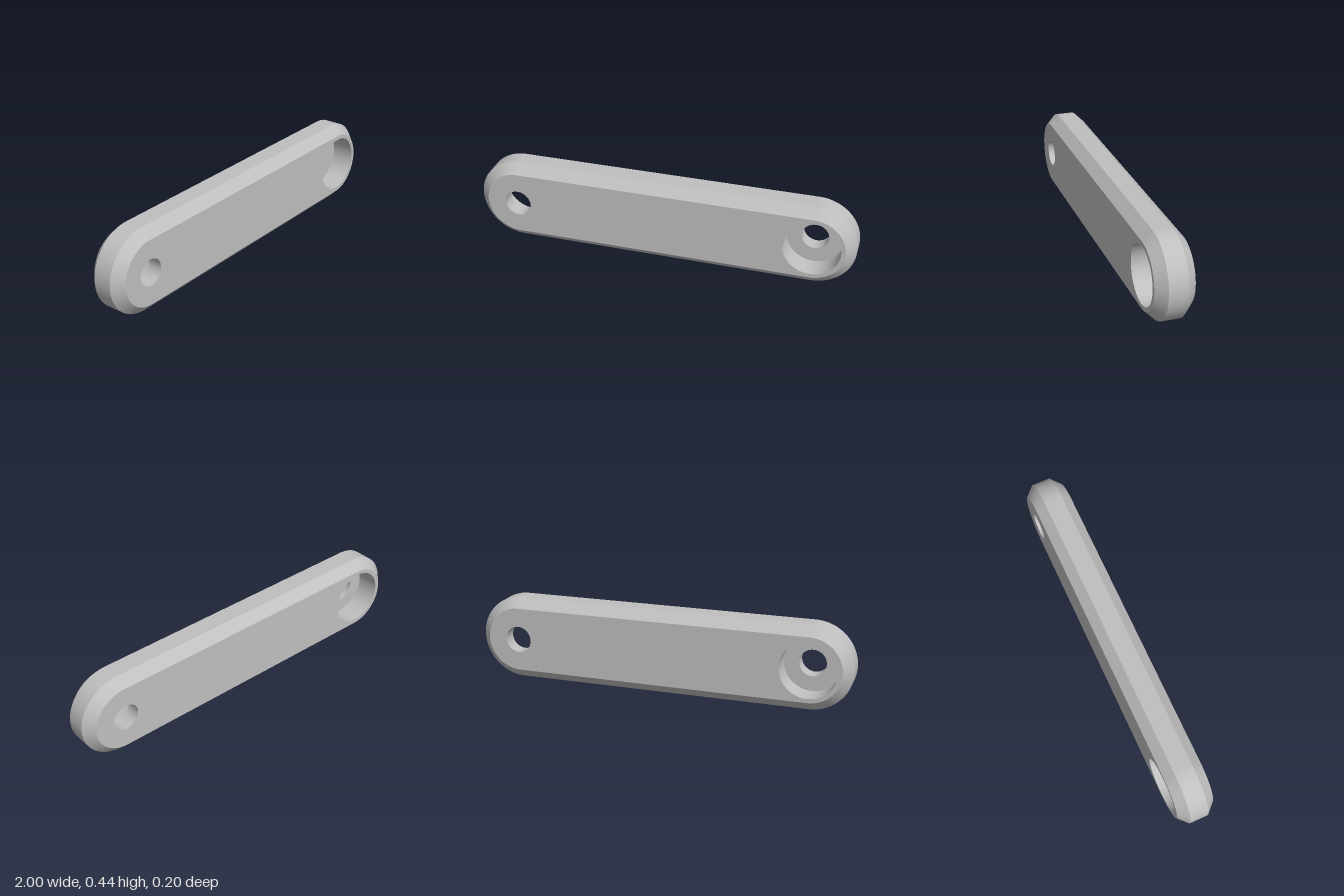
import * as THREE from 'three';

const HOLE_X = 0.78;         // hole and end-arc centres
const R = 0.22;              // end radius, also half the height
const FACE_Z = 0.098;        // flat face
const EDGE_Z = 0.048;        // where the chamfer meets the rim
const CHAMFER = 0.05;
const HOLE_R = 0.07;
const BORE_R = 0.148;
const BORE_Z = FACE_Z - 0.12; // floor of the counterbore
const ARC = 40;              // segments per half circle

// Closed outline, counter-clockwise: a circle, or a slot when half > 0
function outline(cx, half, r) {
  const points = [];
  for (const side of [1, -1]) {
    const last = half > 0 ? ARC : ARC - 1;
    for (let i = 0; i <= last; i++) {
      const a = (i / ARC - 0.5) * Math.PI + (side < 0 ? Math.PI : 0);
      points.push(new THREE.Vector2(cx + side * half + r * Math.cos(a), R + r * Math.sin(a)));
    }
  }
  return points;
}

// Smooth closed band joining two matching outlines
function band(loopA, zA, loopB, zB) {
  const n = loopA.length, pos = [], index = [];
  loopA.forEach((p) => pos.push(p.x, p.y, zA));
  loopB.forEach((p) => pos.push(p.x, p.y, zB));
  for (let i = 0; i < n; i++) {
    const j = (i + 1) % n;
    index.push(i, n + i, n + j, i, n + j, j);
  }
  const g = new THREE.BufferGeometry();
  g.setAttribute('position', new THREE.Float32BufferAttribute(pos, 3));
  g.setIndex(index);
  g.computeVertexNormals();
  return g;
}

export function createModel() {
  const grey = new THREE.MeshStandardMaterial({ color: 0xbfbfbf });
  grey.name = 'grey';

  const rim = outline(0, HOLE_X, R);
  const faceEdge = outline(0, HOLE_X, R - CHAMFER);
  const hole = outline(HOLE_X, 0, HOLE_R);
  const bore = outline(HOLE_X, 0, BORE_R);
  const plainHole = outline(-HOLE_X, 0, HOLE_R);

  const face = new THREE.Shape(faceEdge);
  face.holes.push(new THREE.Path(bore), new THREE.Path(plainHole));

  const parts = {
    face: new THREE.ShapeGeometry(face).translate(0, 0, FACE_Z),
    chamfer: band(faceEdge, FACE_Z, rim, EDGE_Z),
    rim: band(rim, EDGE_Z, rim, 0),
    // Stepped hole, from its far opening up to the face
    holeWall: band(hole, -FACE_Z, hole, BORE_Z),
    counterboreFloor: band(hole, BORE_Z, bore, BORE_Z),
    counterboreWall: band(bore, BORE_Z, bore, FACE_Z),
  };

  // The link is two identical halves, turned half a circle about y
  const model = new THREE.Group();
  model.name = 'linkBar';
  for (const name of ['frontHalf', 'backHalf']) {
    const half = new THREE.Group();
    half.name = name;
    for (const [part, geometry] of Object.entries(parts)) {
      const mesh = new THREE.Mesh(geometry, grey);
      mesh.name = part;
      half.add(mesh);
    }
    if (name === 'backHalf') half.rotation.y = Math.PI;
    model.add(half);
  }
  return model;
}
